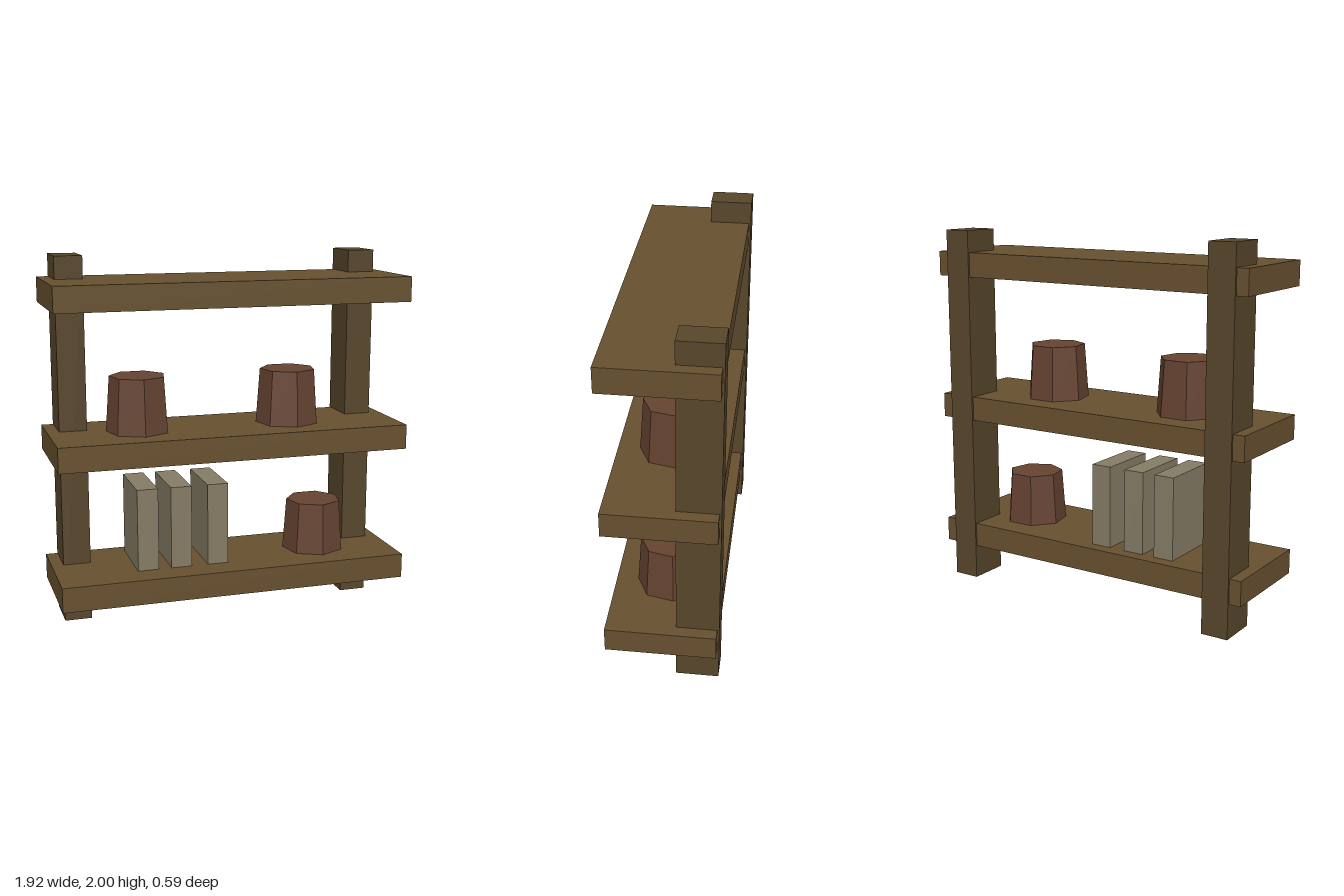
import * as THREE from 'three';

const mat = (color) => new THREE.MeshStandardMaterial({ color, flatShading: true });

export function createModel() {
  const model = new THREE.Group();
  const postWood = mat(0x57462b);
  const shelfWood = mat(0x67502f);
  const clay = mat(0x664331);
  const cover = mat(0x857c65);

  const add = (name, geometry, material, x, y, z) => {
    const mesh = new THREE.Mesh(geometry, material);
    mesh.name = name;
    mesh.position.set(x, y, z);
    model.add(mesh);
  };

  // Two uprights at the back
  const postGeo = new THREE.BoxGeometry(0.15, 2, 0.225);
  add('leftPost', postGeo, postWood, 0.82, 1, -0.183);
  add('rightPost', postGeo, postWood, -0.82, 1, -0.183);

  // Three thick boards
  const shelfGeo = new THREE.BoxGeometry(1.92, 0.135, 0.58);
  [['lowerShelf', 0.257], ['middleShelf', 1.003], ['upperShelf', 1.812]]
    .forEach(([name, y]) => add(name, shelfGeo, shelfWood, 0, y, 0.005));

  // Seven-sided tapered pots
  const potGeo = new THREE.CylinderGeometry(0.153, 0.174, 0.3, 7);
  [[-0.48, 1.22], [0.365, 1.22], [0.53, 0.46]]
    .forEach(([x, y], i) => add(`pot${i + 1}`, potGeo, clay, x, y, 0.007));

  // Upright books on the lower shelf
  const bookGeo = new THREE.BoxGeometry(0.115, 0.452, 0.36);
  [-0.467, -0.282, -0.077]
    .forEach((x, i) => add(`book${i + 1}`, bookGeo, cover, x, 0.55, -0.035));

  return model;
}
